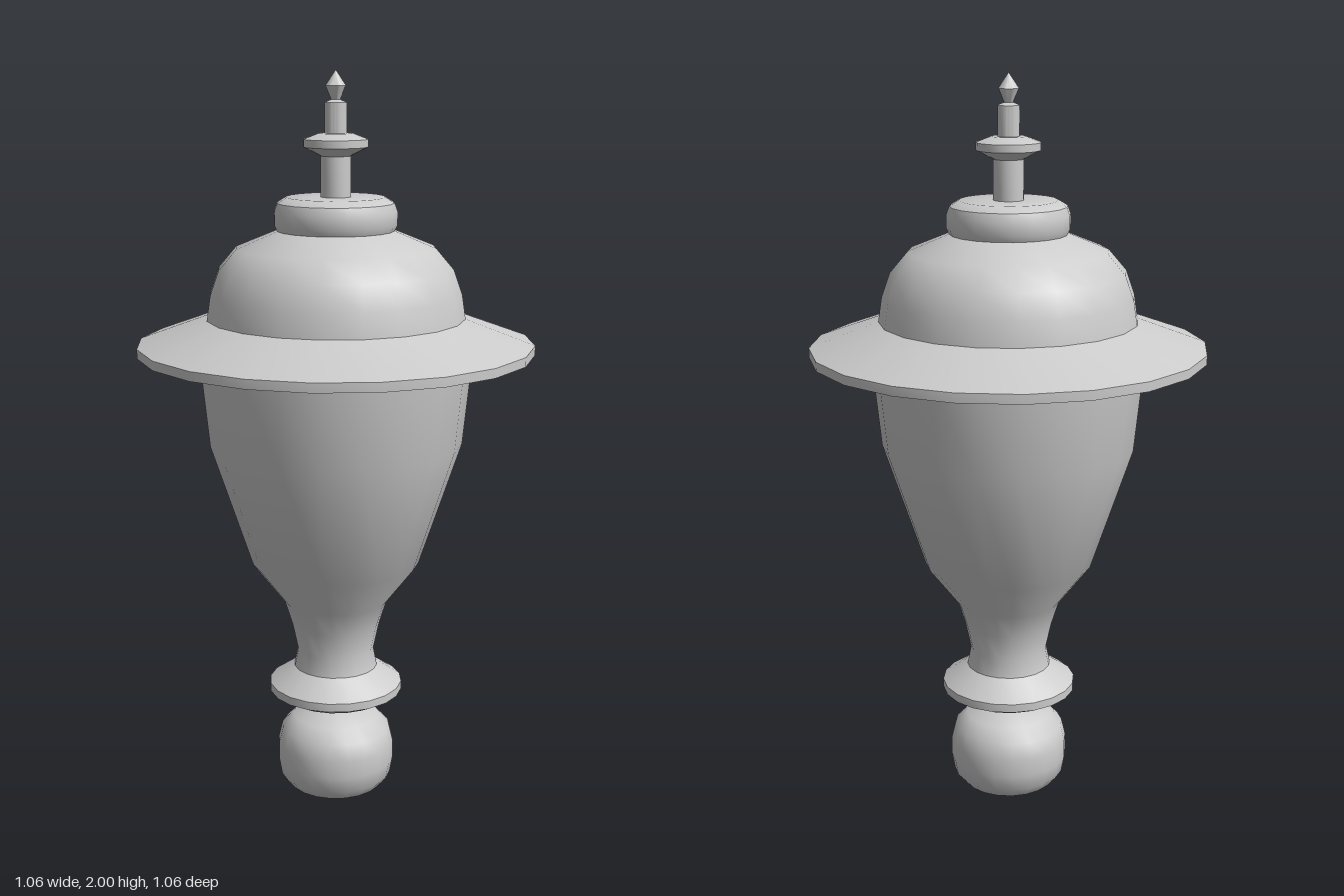
import * as THREE from 'three';
import { toCreasedNormals } from 'three/addons/utils/BufferGeometryUtils.js';

const SIDES = 20;

// Turned parts, each an outline of [radius, height] from bottom to top
const PARTS = {
  ballFoot: [[0, 0], [0.085, 0.004], [0.13, 0.02], [0.155, 0.05], [0.163, 0.095], [0.163, 0.145],
    [0.152, 0.19], [0.118, 0.225], [0.053, 0.245]],
  footNeck: [[0.053, 0.235], [0.053, 0.29]],
  lowerCollar: [[0.053, 0.282], [0.145, 0.284], [0.185, 0.305], [0.185, 0.328], [0.116, 0.375]],
  urnBody: [[0.116, 0.375], [0.106, 0.425], [0.122, 0.5], [0.143, 0.567], [0.23, 0.68],
    [0.342, 1.02], [0.367, 1.267]],
  brim: [[0.367, 1.267], [0.53, 1.267], [0.53, 1.292], [0.345, 1.36]],
  dome: [[0.345, 1.36], [0.335, 1.425], [0.312, 1.49], [0.265, 1.545], [0.155, 1.59]],
  cap: [[0.155, 1.588], [0.163, 1.605], [0.163, 1.64], [0.155, 1.662], [0.13, 1.677], [0.04, 1.677]],
  stem: [[0.04, 1.677], [0.04, 1.785]],
  upperCollar: [[0.04, 1.782], [0.085, 1.805], [0.085, 1.825], [0.045, 1.84], [0.029, 1.84]],
  finialStem: [[0.029, 1.84], [0.029, 1.918], [0.012, 1.925]],
  finialTip: [[0.012, 1.925], [0.027, 1.96], [0, 2]],
};

export function createModel() {
  const group = new THREE.Group();
  group.name = 'lidded urn';
  const material = new THREE.MeshStandardMaterial({ color: 0xcccccc });

  // Smooth around the turning, crisp at the rims
  for (const [name, outline] of Object.entries(PARTS)) {
    const points = outline.map(([r, y]) => new THREE.Vector2(r, y));
    const geometry = toCreasedNormals(new THREE.LatheGeometry(points, SIDES), 0.6);
    const mesh = new THREE.Mesh(geometry, material);
    mesh.name = name;
    group.add(mesh);
  }
  return group;
}
